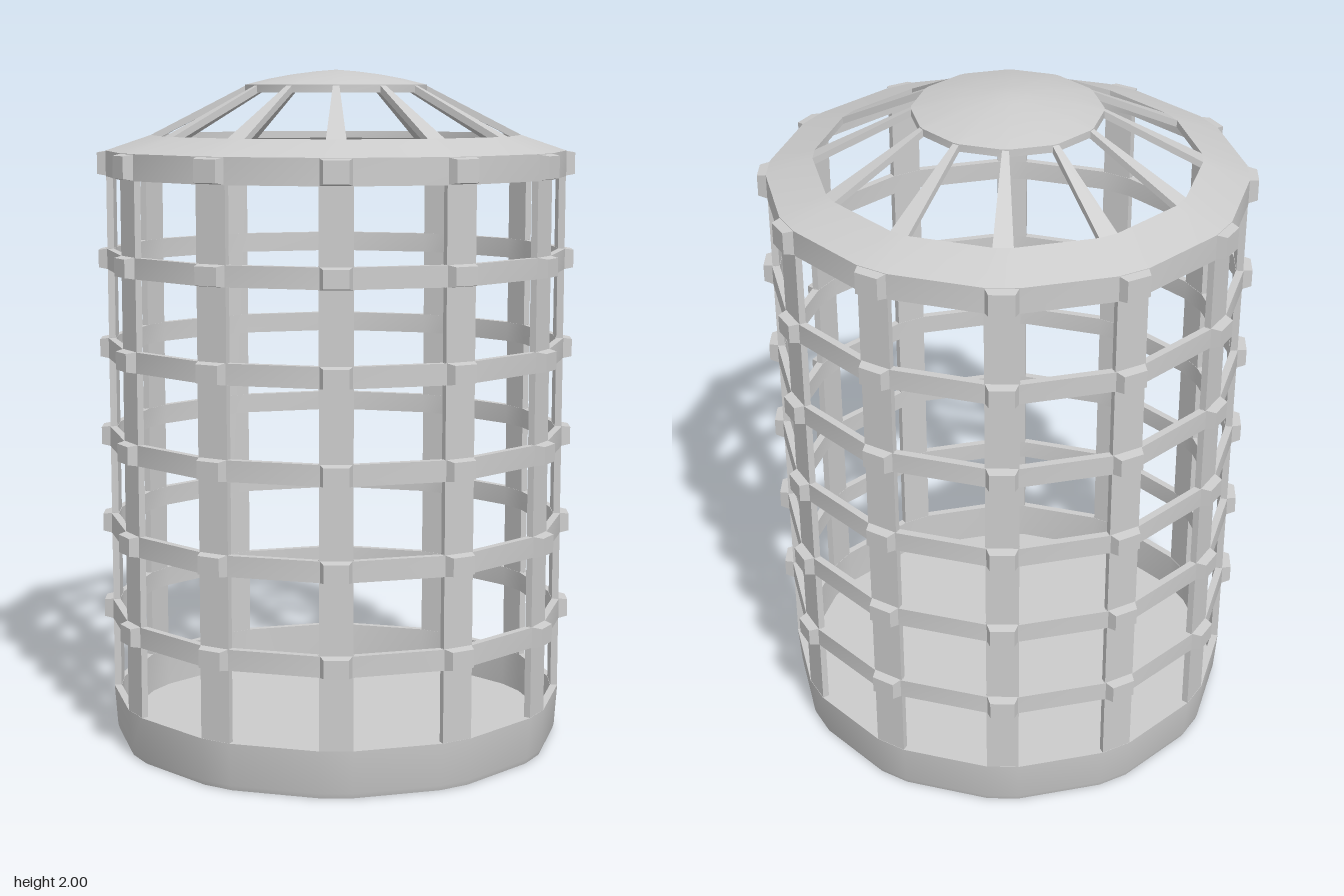
import * as THREE from 'three';
import { toCreasedNormals } from 'three/addons/utils/BufferGeometryUtils.js';

const COUNT = 12;                 // bars around the cage
const START = Math.PI / 24;       // angle of the first bar
const STEP = (Math.PI * 2) / COUNT;
const R = 0.678, RI = 0.656;      // outer and inner wall radius
const W = 0.047;                  // half width of a bar

const material = new THREE.MeshStandardMaterial({ color: 0xcccccc });

function addMesh(parent, geometry, name) {
  const mesh = new THREE.Mesh(geometry, material);
  mesh.name = name;
  parent.add(mesh);
  return mesh;
}

// 24-sided section: a short side of half width w at each bar, long sides between
function section([r, y, w = (r * W) / R]) {
  const points = [];
  for (let k = 0; k < COUNT; k++) {
    const a = START + k * STEP, c = Math.cos(a), s = Math.sin(a);
    for (const t of [-w, w]) points.push(new THREE.Vector3(r * c - t * s, y, r * s + t * c));
  }
  return points;
}

// Surface through sections; the profile runs counter-clockwise in (radius, height)
function loft(profile, closed) {
  const rows = profile.map(section);
  if (closed) rows.push(rows[0]);
  const positions = [];
  const triangle = (a, b, c) => {
    if (a.distanceTo(b) < 1e-6 || b.distanceTo(c) < 1e-6 || a.distanceTo(c) < 1e-6) return;
    for (const p of [a, b, c]) positions.push(p.x, p.y, p.z);
  };
  for (let j = 0; j < rows.length - 1; j++) {
    const lo = rows[j], hi = rows[j + 1];
    for (let i = 0; i < lo.length; i++) {
      const n = (i + 1) % lo.length;
      triangle(lo[i], hi[i], lo[n]);
      triangle(lo[n], hi[i], hi[n]);
    }
  }
  const geometry = new THREE.BufferGeometry();
  geometry.setAttribute('position', new THREE.Float32BufferAttribute(positions, 3));
  return toCreasedNormals(geometry, 0.5);
}

// Six-sided block pointing outward, with its own size at each end
function block(inner, outer) {
  const geometry = new THREE.BoxGeometry(1, 1, 1).toNonIndexed();
  const p = geometry.attributes.position;
  for (let i = 0; i < p.count; i++) {
    const end = p.getX(i) < 0 ? inner : outer;
    p.setXYZ(i, end.r, p.getY(i) < 0 ? end.bottom : end.top, Math.sign(p.getZ(i)) * end.w);
  }
  geometry.computeVertexNormals();
  return geometry;
}

function addAround(parent, geometry, name) {
  for (let k = 0; k < COUNT; k++) {
    addMesh(parent, geometry, name).rotation.y = -(START + k * STEP);
  }
}

export function createModel() {
  const model = new THREE.Group();
  model.name = 'cage';

  // Open tray with a thin floor
  addMesh(model, loft([
    [0, 0], [0.664, 0], [0.669, 0.015], [R, 0.14], [RI, 0.14], [RI, 0.018], [0, 0.018],
  ]), 'base');

  // Upright bars
  addAround(model, block(
    { r: RI + 0.001, w: W - 0.002, bottom: 0.13, top: 1.72 },
    { r: R - 0.001, w: W, bottom: 0.13, top: 1.72 },
  ), 'bar');

  // Horizontal hoops and the studs where they cross the bars
  const hoops = new THREE.Group();
  hoops.name = 'hoops';
  model.add(hoops);
  const addStuds = (bottom, top) => addAround(hoops, block(
    { r: 0.668, w: W + 0.001, bottom, top },
    { r: 0.705, w: 0.035, bottom: bottom + 0.006, top: top - 0.006 },
  ), 'stud');
  for (let i = 0; i < 5; i++) {
    const y = 0.38 + i * 0.2665, lo = y - 0.03, hi = y + 0.03;
    addMesh(hoops, loft([[RI, lo], [R, lo], [R, hi], [RI, hi]], true), 'hoop');
    addStuds(lo - 0.002, hi + 0.002);
  }
  addStuds(1.69, 1.765);

  // Top band turning into the sloping roof rim
  addMesh(model, loft([
    [RI, 1.69], [R, 1.69], [R, 1.765], [0.546, 1.81, 0.028],
    [0.546, 1.788, 0.028], [RI, 1.748],
  ], true), 'roofRim');

  // Tapered roof spokes
  addAround(model, block(
    { r: 0.262, w: 0.009, bottom: 1.934, top: 1.956 },
    { r: 0.55, w: 0.028, bottom: 1.787, top: 1.808 },
  ), 'roofSpoke');

  // Shallow domed cap
  addMesh(model, loft([
    [0, 1.945], [0.268, 1.934, 0.009], [0.268, 1.956, 0.009],
    [0.2, 1.973], [0.13, 1.986], [0.06, 1.995], [0, 2],
  ]), 'roofCap');

  return model;
}
